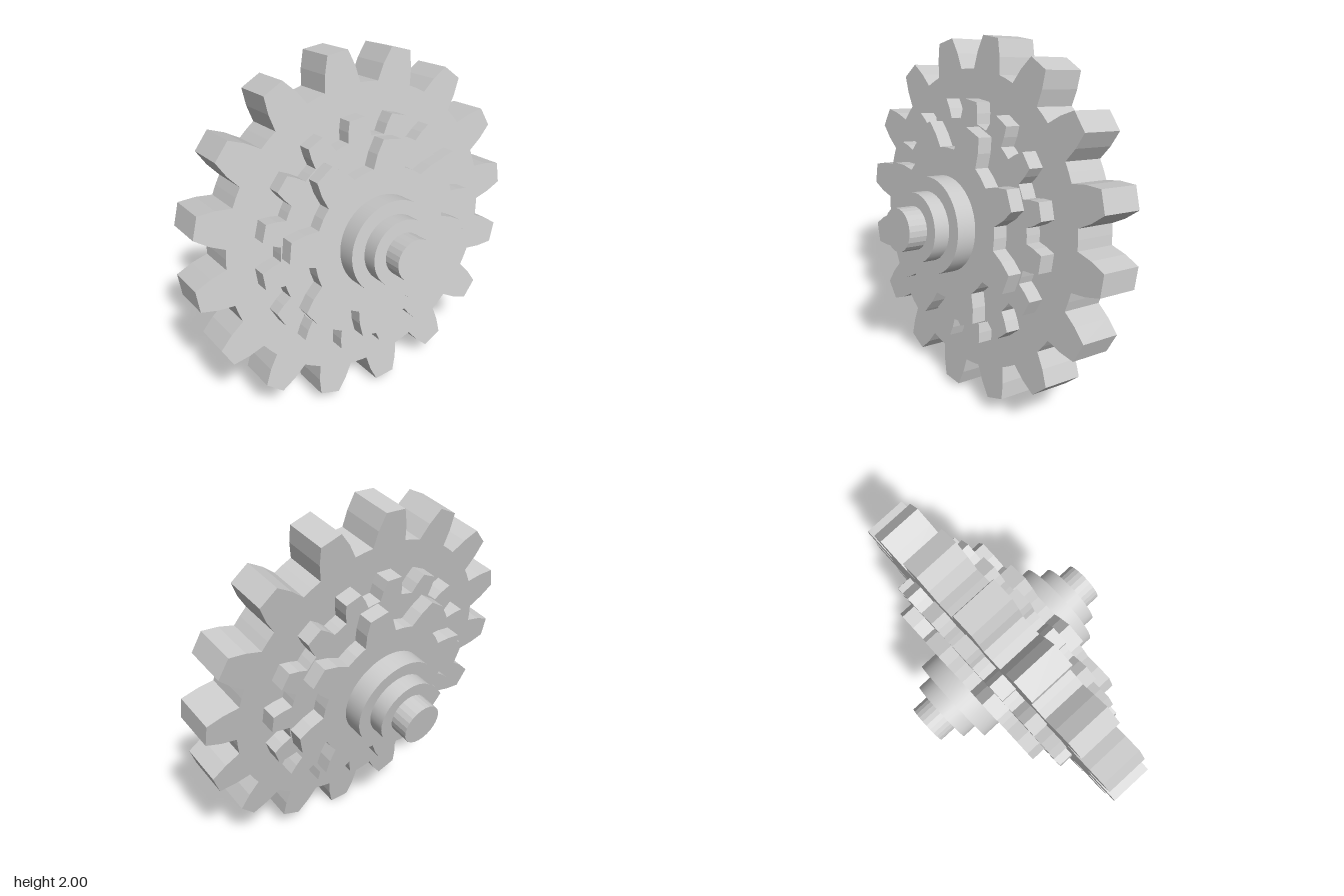
import * as THREE from 'three';

const grey = new THREE.MeshStandardMaterial({ color: 0xcccccc });
const greyFlat = new THREE.MeshStandardMaterial({ color: 0xcccccc, flatShading: true });

// Gear outline: each tooth narrows from root to tip with slightly bulging flanks.
// Widths are half-widths at root, middle and tip, as fractions of the tooth pitch.
function makeGear(name, teeth, root, tip, halfDepth, phaseDeg, [wRoot, wMid, wTip]) {
  const pitch = (Math.PI * 2) / teeth;
  const mid = root + (tip - root) * 0.5;
  const flank = [[root, -wRoot], [mid, -wMid], [tip, -wTip], [tip, wTip], [mid, wMid], [root, wRoot], [root, 0.5]];
  const points = [];
  for (let i = 0; i < teeth; i++) {
    for (const [r, w] of flank) {
      const a = THREE.MathUtils.degToRad(phaseDeg) + (i + w) * pitch;
      points.push(new THREE.Vector2(r * Math.cos(a), r * Math.sin(a)));
    }
  }
  const geometry = new THREE.ExtrudeGeometry(new THREE.Shape(points), {
    depth: halfDepth * 2, bevelEnabled: false,
  });
  geometry.translate(0, 0, -halfDepth);
  const mesh = new THREE.Mesh(geometry, greyFlat);
  mesh.name = name;
  return mesh;
}

// Cylinder along the gear axis (local z), centred on the big gear
function makeRound(name, radius, halfLength, sides, material) {
  const geometry = new THREE.CylinderGeometry(radius, radius, halfLength * 2, sides);
  geometry.rotateX(Math.PI / 2);
  const mesh = new THREE.Mesh(geometry, material);
  mesh.name = name;
  return mesh;
}

export function createModel() {
  const model = new THREE.Group();
  model.name = 'gearCluster';

  // Every part runs through the centre, so both faces step outwards alike
  const assembly = new THREE.Group();
  assembly.name = 'tiltedGears';
  assembly.add(
    makeGear('largeGear', 16, 0.82, 0.995, 0.12, 2.5, [0.33, 0.255, 0.155]),
    makeGear('middleGear', 16, 0.56, 0.667, 0.207, 2, [0.32, 0.26, 0.18]),
    makeGear('smallGear', 8, 0.41, 0.555, 0.29, 32, [0.31, 0.225, 0.13]),
    makeRound('outerCollar', 0.26, 0.4, 48, grey),
    makeRound('innerCollar', 0.185, 0.488, 32, grey),
    makeRound('shaft', 0.115, 0.594, 24, greyFlat),
  );

  // Tilt the axle: local z follows the axle, local x stays level
  const axis = new THREE.Vector3(0.934, 0.176, 0.311).normalize();
  const across = new THREE.Vector3(0, 1, 0).cross(axis).normalize();
  const up = axis.clone().cross(across);
  assembly.quaternion.setFromRotationMatrix(new THREE.Matrix4().makeBasis(across, up, axis));
  assembly.position.y = 1;
  model.add(assembly);
  return model;
}
